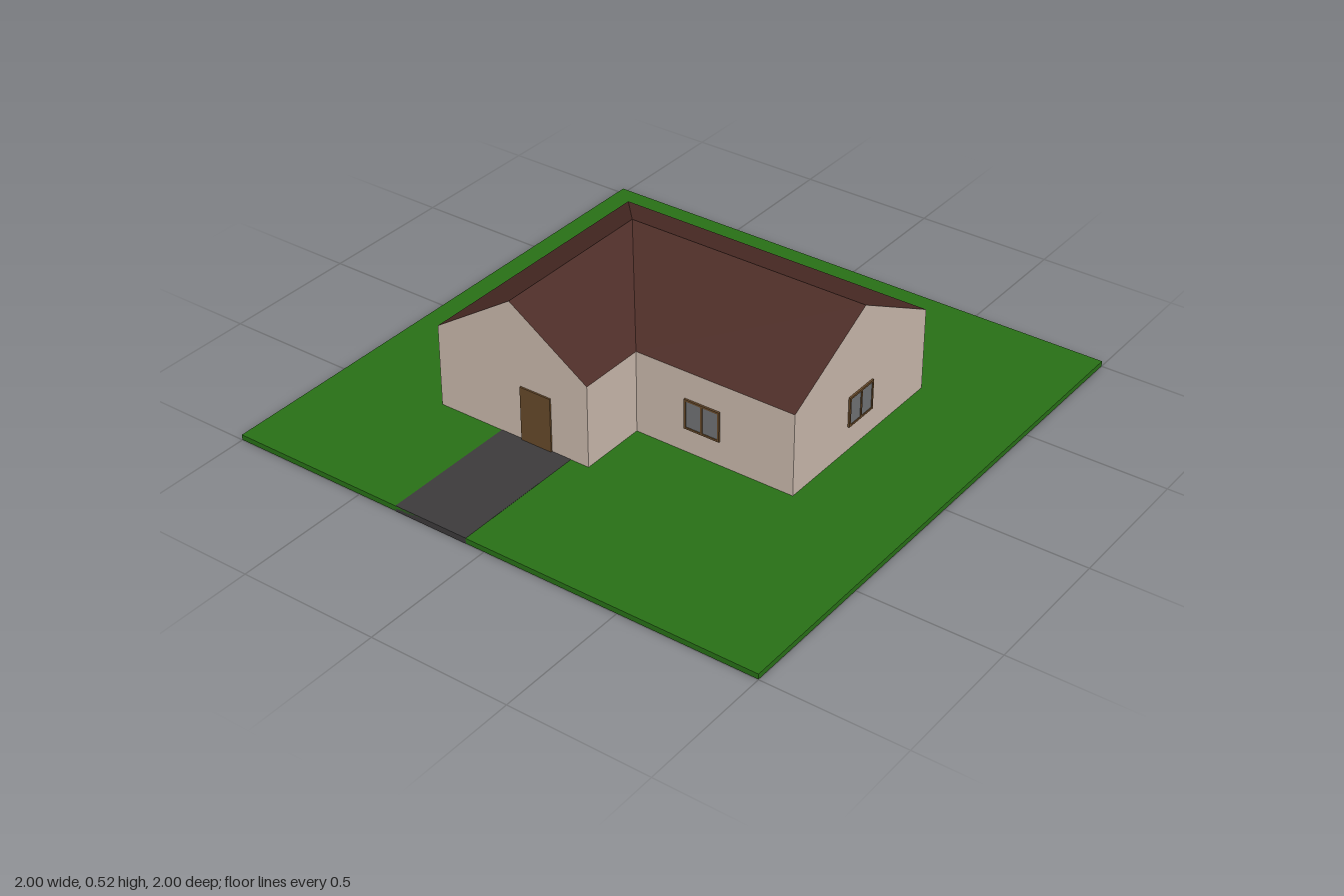
import * as THREE from 'three';

const mat = (color, side = THREE.FrontSide) =>
  new THREE.MeshStandardMaterial({ color, side, flatShading: true });

const GROUND = 0.02, EAVE = 0.32, RIDGE = 0.52;

// Flat convex polygons, each a counter-clockwise loop of corners, joined into one mesh
function polygonMesh(name, polygons, material) {
  const pos = [];
  for (const p of polygons)
    for (let i = 1; i < p.length - 1; i++) pos.push(...p[0], ...p[i], ...p[i + 1]);
  const g = new THREE.BufferGeometry();
  g.setAttribute('position', new THREE.Float32BufferAttribute(pos, 3));
  g.computeVertexNormals();
  const mesh = new THREE.Mesh(g, material);
  mesh.name = name;
  return mesh;
}

function box(name, [x0, x1], [y0, y1], [z0, z1], material) {
  const mesh = new THREE.Mesh(new THREE.BoxGeometry(x1 - x0, y1 - y0, z1 - z0), material);
  mesh.position.set((x0 + x1) / 2, (y0 + y1) / 2, (z0 + z1) / 2);
  mesh.name = name;
  return mesh;
}

// Two-pane window facing +z, its back on z = 0
function makeWindow(name, frameMat, glassMat) {
  const w = 0.135, h = 0.11, t = 0.007, depth = 0.007;
  const rect = (Kind, x0, x1, y0, y1) => new Kind([
    new THREE.Vector2(x0, y0), new THREE.Vector2(x1, y0),
    new THREE.Vector2(x1, y1), new THREE.Vector2(x0, y1)]);
  const shape = rect(THREE.Shape, -w / 2, w / 2, -h / 2, h / 2);
  for (const [x0, x1] of [[-w / 2 + t, -t / 2], [t / 2, w / 2 - t]])
    shape.holes.push(rect(THREE.Path, x0, x1, -h / 2 + t, h / 2 - t));
  const frame = new THREE.Mesh(
    new THREE.ExtrudeGeometry(shape, { depth, bevelEnabled: false }), frameMat);
  frame.name = 'windowFrame';
  const group = new THREE.Group();
  group.name = name;
  group.add(frame, box('windowGlass',
    [-w / 2 + t / 2, w / 2 - t / 2], [-h / 2 + t / 2, h / 2 - t / 2], [0, 0.004], glassMat));
  return group;
}

export function createModel() {
  const house = new THREE.Group();
  house.name = 'house';
  const wallMat = mat(0xc9b8ab, THREE.DoubleSide);
  const roofMat = mat(0x4c2c26, THREE.DoubleSide);
  const woodMat = mat(0x66492a);
  const glassMat = mat(0x707274);

  // Lawn and the path that runs up to the door
  house.add(box('lawn', [-1, 1], [0.001, GROUND], [-1, 1], mat(0x287016)));
  house.add(box('path', [-0.35, -0.07], [0, GROUND + 0.001], [0, 1], mat(0x3c3a3b)));

  // L-shaped walls: a quad along each side, plus the two gable triangles
  const plan = [[-0.6, 0.49], [0, 0.49], [0, 0.24], [0.6, 0.24], [0.6, -0.51], [-0.6, -0.51]];
  const walls = plan.map(([x, z], i) => {
    const [u, v] = plan[(i + 1) % plan.length];
    return [[x, GROUND, z], [u, GROUND, v], [u, EAVE, v], [x, EAVE, z]];
  });
  const [frontL, frontR, valley, sideF, sideB, backL] = plan.map(([x, z]) => [x, EAVE, z]);
  const frontPeak = [-0.3, RIDGE, 0.49];
  const sidePeak = [0.6, RIDGE, -0.14];
  const corner = [-0.3, RIDGE, -0.14];
  walls.push([frontL, frontR, frontPeak], [sideF, sideB, sidePeak]);
  house.add(polygonMesh('walls', walls, wallMat));

  // Four roof slopes meeting at a hip and a valley
  house.add(polygonMesh('roof', [
    [frontL, frontPeak, corner, backL],
    [frontR, valley, corner, frontPeak],
    [valley, sideF, sidePeak, corner],
    [sideB, backL, corner, sidePeak],
  ], roofMat));

  // Front door
  house.add(box('door', [-0.265, -0.145], [GROUND, 0.22], [0.485, 0.496], woodMat));

  // Windows: name, x, z, turn about y
  for (const [name, x, z, turn] of [
    ['frontWindow', 0.257, 0.24, 0],
    ['leftWindow', 0.6, -0.13, Math.PI / 2],
    ['rightWindow', -0.6, 0.025, -Math.PI / 2],
    ['backWindowRight', -0.236, -0.51, Math.PI],
    ['backWindowLeft', 0.357, -0.51, Math.PI],
  ]) {
    const win = makeWindow(name, woodMat, glassMat);
    win.position.set(x, 0.165, z);
    win.rotation.y = turn;
    house.add(win);
  }
  return house;
}
